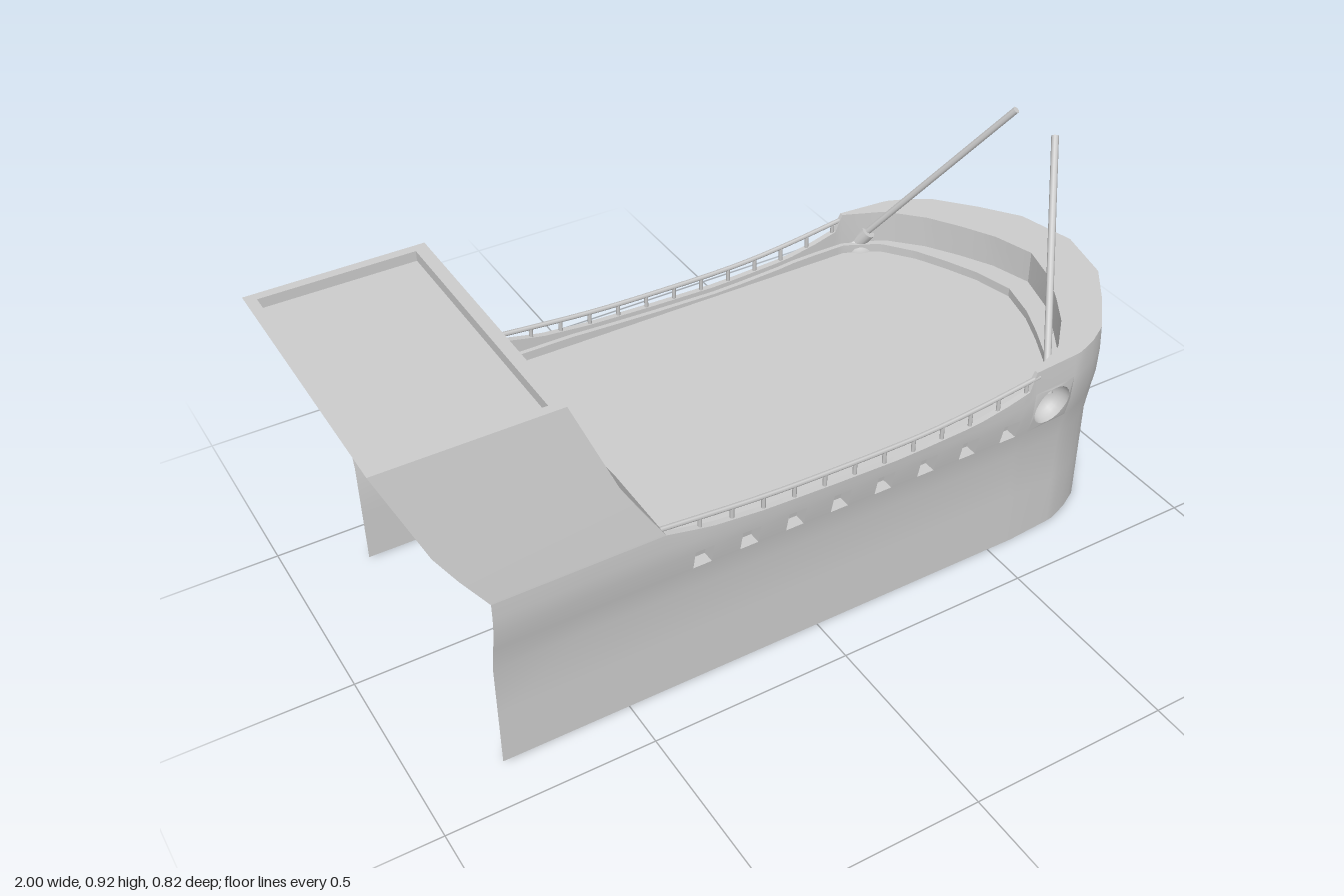
import * as THREE from 'three';
import { toCreasedNormals } from 'three/addons/utils/BufferGeometryUtils.js';

const MAT = new THREE.MeshStandardMaterial({ color: 0xcccccc, side: THREE.DoubleSide });

// Piecewise-linear lookup: table rows are [key, value]
function lerpTable(table, k) {
  if (k <= table[0][0]) return table[0][1];
  for (let i = 1; i < table.length; i++) {
    const [k0, v0] = table[i - 1], [k1, v1] = table[i];
    if (k <= k1) return v0 + (v1 - v0) * (k - k0) / (k1 - k0);
  }
  return table[table.length - 1][1];
}

// Hull rules: half width by height, narrowing towards the bow, sheer line, inner bulwark line
const WIDTH = [[0, 0.38], [0.28, 0.38], [0.35, 0.394], [0.405, 0.406], [0.44, 0.41], [0.49, 0.41], [0.53, 0.405]];
const NARROW = [[0.57, 1], [0.64, 0.993], [0.71, 0.97], [0.765, 0.915], [0.815, 0.84], [0.895, 0.61], [0.965, 0.37], [1, 0]];
const SHEER = [[-0.41, 0.49], [-0.3, 0.465], [-0.17, 0.452], [0, 0.445], [0.2, 0.44], [0.4, 0.45], [0.5, 0.47], [0.55, 0.485], [0.57, 0.53]];
const INNER_X = [[-0.81, -0.81], [0.57, 0.57], [0.64, 0.63], [0.71, 0.68], [0.815, 0.75], [0.895, 0.8], [0.965, 0.845], [1, 0.875]];
const INNER_Z = [[0.57, 0.395], [0.64, 0.38], [0.71, 0.345], [0.815, 0.27], [0.895, 0.19], [0.965, 0.105], [1, 0]];
const DECK = 0.42, LEDGE = 0.455;
const hullZ = (x, y) => lerpTable(WIDTH, y) * lerpTable(NARROW, x);
const top = x => lerpTable(SHEER, x);

function meshOf(name, geometry, parent) {
  const mesh = new THREE.Mesh(geometry, MAT);
  mesh.name = name;
  parent.add(mesh);
  return mesh;
}

// Mesh from a list of four-cornered faces
function quadMesh(name, quads, parent, crease = 0.6) {
  const pos = [];
  for (const [a, b, c, d] of quads) pos.push(...a, ...b, ...c, ...a, ...c, ...d);
  const g = new THREE.BufferGeometry();
  g.setAttribute('position', new THREE.Float32BufferAttribute(pos, 3));
  return meshOf(name, toCreasedNormals(g, crease), parent);
}

// Flat shape with holes, each point then placed in space by a rule
function mappedShape(name, outline, holes, place, parent) {
  const shape = new THREE.Shape(outline.map(p => new THREE.Vector2(...p)));
  for (const h of holes) shape.holes.push(new THREE.Path(h.map(p => new THREE.Vector2(...p))));
  const g = new THREE.ShapeGeometry(shape), p = g.attributes.position;
  for (let i = 0; i < p.count; i++) p.setXYZ(i, ...place(p.getX(i), p.getY(i)));
  g.computeVertexNormals();
  return meshOf(name, g, parent);
}

const rect = (x, y, w, h) => [[x - w / 2, y - h / 2], [x + w / 2, y - h / 2], [x + w / 2, y + h / 2], [x - w / 2, y + h / 2]];

// Window recess: four reveals and a back, pushed in by an offset
function recess(corners, off) {
  const back = corners.map(c => c.map((v, i) => v + off[i]));
  const quads = corners.map((c, i) => [c, corners[(i + 1) % 4], back[(i + 1) % 4], back[i]]);
  return [...quads, back];
}

function rod(name, a, b, r, parent, sides = 8) {
  const A = new THREE.Vector3(...a), B = new THREE.Vector3(...b);
  const m = meshOf(name, new THREE.CylinderGeometry(r, r, A.distanceTo(B), sides), parent);
  m.position.copy(A).add(B).multiplyScalar(0.5);
  m.quaternion.setFromUnitVectors(new THREE.Vector3(0, 1, 0), B.sub(A).normalize());
}

// Everything on one side of the ship
function buildSide() {
  const side = new THREE.Group();
  const ports = Array.from({ length: 8 }, (_, i) => -0.315 + i * 0.118);
  const xs = [-0.81, -0.6, -0.41, 0.55, 0.57, 0.69, 0.71, 0.74, 0.765, 0.79, 0.815, 0.855, 0.895, 0.93, 0.965, 1];
  for (const x of ports) xs.push(x - 0.023, x + 0.023);
  xs.sort((a, b) => a - b);
  const rows = x => [0, 0.14, 0.28, 0.35, 0.405, 0.405 + (top(x) - 0.405) * 0.52, top(x)];

  // Hull planking, leaving out the port and hawse openings
  const hull = [], cap = [], bulwark = [], portQuads = [];
  const at = (x, y) => [x, y, hullZ(x, y)];
  const inner = (x, y, s = 1) => [lerpTable(INNER_X, x) - (s < 1 ? 0.06 * Math.max(0, (x - 0.57) / 0.43) : 0), y, lerpTable(INNER_Z, x) * s];
  for (let i = 0; i < xs.length - 1; i++) {
    const a = xs[i], b = xs[i + 1], ra = rows(a), rb = rows(b);
    const isPort = ports.some(p => Math.abs(p - (a + b) / 2) < 0.001);
    const isHawse = a === 0.57;
    for (let r = 0; r < 6; r++) {
      const q = [at(a, ra[r]), at(b, rb[r]), at(b, rb[r + 1]), at(a, ra[r + 1])];
      if (isPort && r === 3) portQuads.push(...recess(q, [0, 0, -0.03]));
      else if (!(isHawse && (r === 3 || r === 4))) hull.push(q);
    }
    if (a < -0.41) continue;
    // Gunwale cap, inner bulwark, ledge and step down to the deck
    const ta = top(a), tb = top(b), la = Math.min(ta, LEDGE) - 0.012, lb = Math.min(tb, LEDGE) - 0.012;
    cap.push([at(a, ta), at(b, tb), inner(b, tb), inner(a, ta)]);
    bulwark.push([inner(a, ta), inner(b, tb), inner(b, lb), inner(a, la)],
      [inner(a, la), inner(b, lb), inner(b, lb, 0.97), inner(a, la, 0.97)],
      [inner(a, la, 0.97), inner(b, lb, 0.97), inner(b, DECK, 0.97), inner(a, DECK, 0.97)]);
  }
  quadMesh('hullSide', hull, side, 0.7);
  quadMesh('gunwale', cap, side);
  quadMesh('bulwark', bulwark, side);
  quadMesh('hullPorts', portQuads, side, 0.1);

  // Hawse hole: a round dish set in the bow
  const ring = Array.from({ length: 24 }, (_, i) => [0.63 + 0.054 * Math.cos(i * Math.PI / 12), 0.411 + 0.054 * Math.sin(i * Math.PI / 12)]);
  mappedShape('hawseSurround', [[0.57, 0.35], [0.69, 0.35], [0.69, 0.47], [0.57, 0.47]], [ring], at, side);
  const dish = new THREE.SphereGeometry(0.054, 24, 8, 0, Math.PI * 2, 0, Math.PI / 2).rotateX(-Math.PI / 2);
  const dp = dish.attributes.position;
  for (let i = 0; i < dp.count; i++) {
    const x = dp.getX(i) + 0.63, y = dp.getY(i) + 0.411;
    dp.setXYZ(i, x, y, hullZ(x, y) + dp.getZ(i));
  }
  dish.computeVertexNormals();
  meshOf('hawseDish', dish, side);

  // Sterncastle side
  const levels = [[0.49, -0.81, -0.41, 0.41], [0.57, -0.866, -0.46, 0.398], [0.64, -0.91, -0.5, 0.385], [0.855, -1, -0.585, 0.345]];
  quadMesh('castleSide', levels.slice(1).map(([y1, b1, f1, z1], i) => {
    const [y0, b0, f0, z0] = levels[i];
    return [[b0, y0, z0], [f0, y0, z0], [f1, y1, z1], [b1, y1, z1]];
  }), side);

  // Railing
  const line = [[-0.42, 0.505], [-0.17, 0.484], [0, 0.478], [0.25, 0.478], [0.4, 0.49], [0.58, 0.514]];
  const curve = new THREE.CatmullRomCurve3(line.map(([x, y]) => new THREE.Vector3(x, y, 0.402)));
  meshOf('handrail', new THREE.TubeGeometry(curve, 24, 0.006, 6), side);
  for (let i = 0; i < 12; i++) {
    const x = -0.325 + i * 0.079;
    rod('railPost', [x, top(x) - 0.005, 0.402], [x, lerpTable(line, x), 0.402], 0.005, side, 6);
  }

  // Slanted bow pole in its socket
  rod('bowPole', [0.622, 0.45, 0.385], [0.84, 0.91, 0.073], 0.009, side);
  rod('poleSocket', [0.618, 0.44, 0.385], [0.634, 0.475, 0.365], 0.019, side, 12);
  return side;
}

export function createModel() {
  const ship = new THREE.Group();
  ship.name = 'ship';
  const left = buildSide(), right = left.clone();
  left.name = 'frontSide';
  right.name = 'backSide';
  right.scale.z = -1;
  ship.add(left, right);

  // Deck
  const keys = [-0.41, 0.57, 0.64, 0.71, 0.765, 0.815, 0.855, 0.895, 0.93, 0.965, 1];
  const half = keys.map(k => [lerpTable(INNER_X, k) - 0.06 * Math.max(0, (k - 0.57) / 0.43), lerpTable(INNER_Z, k) * 0.975]);
  const outline = [...half, ...half.slice(0, -1).reverse().map(([x, z]) => [x, -z])];
  mappedShape('deck', outline, [], (x, z) => [x, DECK, z], ship);

  // Sterncastle front: upper and lower sloped walls with recessed windows
  const castle = new THREE.Group();
  castle.name = 'sterncastle';
  ship.add(castle);
  const slope = [[0.42, -0.41], [0.49, -0.41], [0.64, -0.5], [0.855, -0.585]];
  const onWall = (z, y) => [lerpTable(slope, y), y, z];
  const upper = [], lower = [];
  for (const s of [-1, 1]) {
    for (const z of [0.03, 0.135, 0.243]) upper.push(rect(s * z, 0.79, 0.047, 0.036));
    for (const z of [0.03, 0.143, 0.256]) upper.push(rect(s * z, 0.707, 0.05, 0.034));
    lower.push(rect(s * 0.267, 0.608, 0.05, 0.054));
  }
  mappedShape('castleUpperFront', [[-0.385, 0.64], [0.385, 0.64], [0.345, 0.855], [-0.345, 0.855]], upper, onWall, castle);
  mappedShape('castleLowerFront', [[-0.41, 0.49], [-0.185, 0.49], [-0.18, 0.64], [0.18, 0.64], [0.185, 0.49], [0.41, 0.49], [0.398, 0.57], [0.385, 0.64], [-0.385, 0.64], [-0.398, 0.57]], lower, onWall, castle);
  const panes = [...upper, ...lower].flatMap(h => recess(h.map(p => onWall(...p)), [-0.032, -0.015, 0]));
  quadMesh('castleWindows', panes, castle, 0.1);
  for (const s of [-1, 1])
    mappedShape('castleFoot', [[s * 0.185, 0.42], [s * 0.4, 0.42], [s * 0.41, 0.49], [s * 0.185, 0.49]], [], onWall, castle);

  // Wide doorway recess under the castle
  const door = [[-0.5, 0.64], [-0.66, 0.545], [-0.66, 0.345], [-0.41, 0.42]];
  quadMesh('doorwayLining', door.slice(1).map(([x, y], i) => {
    const [px, py] = door[i];
    return [[px, py, 0.183], [x, y, 0.183], [x, y, -0.183], [px, py, -0.183]];
  }), castle, 0.1);
  for (const z of [-0.183, 0.183])
    mappedShape('doorwayJamb', [...door, [-0.41, 0.49]], [], (x, y) => [x, y, z], castle);

  // Roof: raised rim around a sunken panel
  const rim = rect(-0.7925, 0, 0.415, 0.69), well = rect(-0.795, 0, 0.36, 0.645);
  mappedShape('roofRim', rim, [well], (x, z) => [x, 0.855, -z], castle);
  quadMesh('roofPanel', recess(well.map(([x, z]) => [x, 0.855, -z]), [0, -0.025, 0]), castle, 0.1);
  return ship;
}
